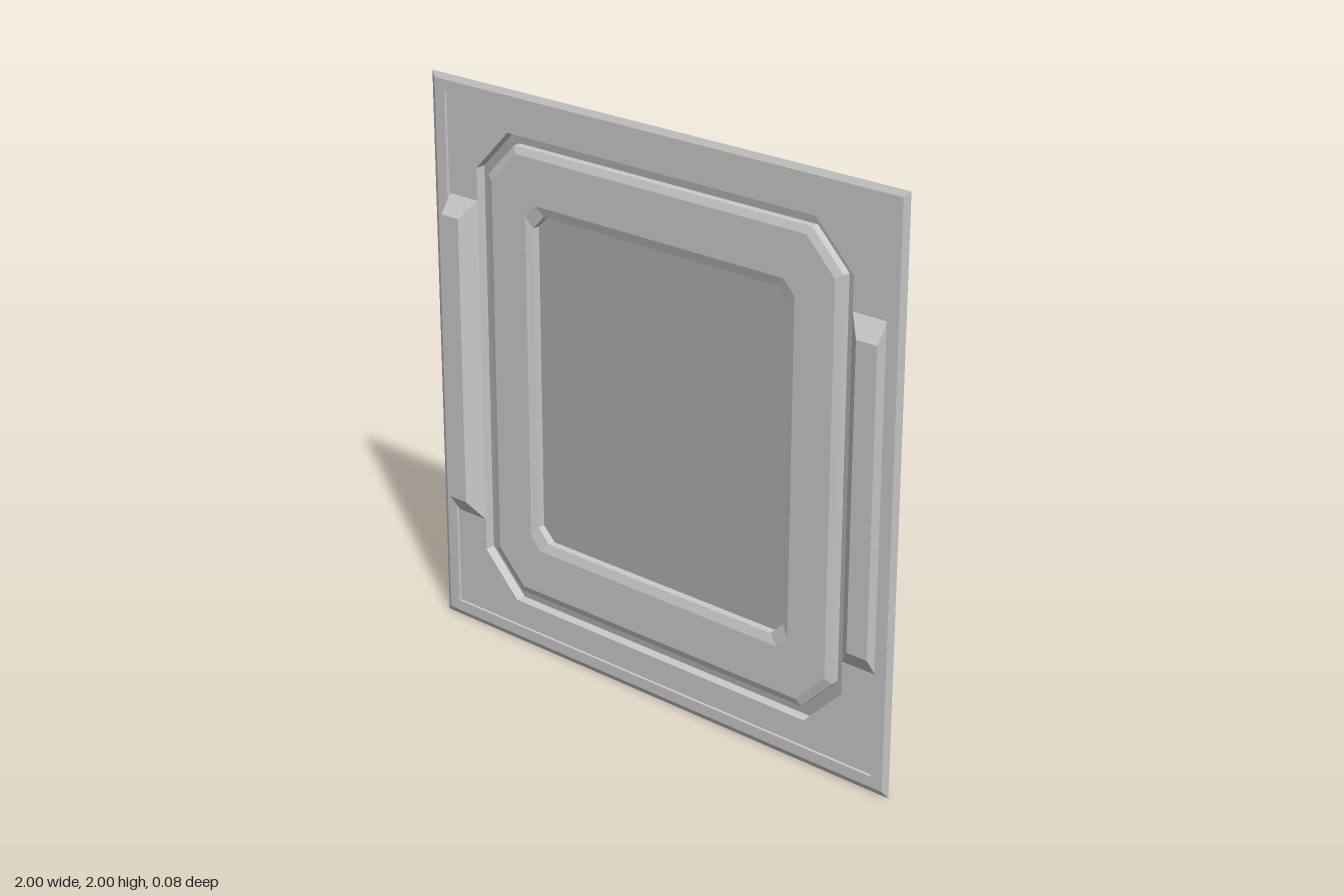
import * as THREE from 'three';

const grey = new THREE.MeshStandardMaterial({ color: 0xcccccc, flatShading: true, side: THREE.DoubleSide });
const dark = new THREE.MeshStandardMaterial({ color: 0xaeaeae, flatShading: true, side: THREE.DoubleSide });

const FIELD = -0.005, RIM = 0.005, BACK = -0.042, PAD = 0.04;

// Counter-clockwise rectangle loop with half sizes w, h and corner chamfer c
function loop(w, h, z, c = 0) {
  const pts = c
    ? [[w, c - h], [w, h - c], [w - c, h], [c - w, h], [-w, h - c], [-w, c - h], [c - w, -h], [w - c, -h]]
    : [[w, -h], [w, h], [-w, h], [-w, -h]];
  return pts.map(([x, y]) => new THREE.Vector3(x, y, z));
}

// Skin of quads through a series of loops, listed from the outside in
function skin(loops) {
  const pos = [];
  for (let k = 0; k < loops.length - 1; k++) {
    const a = loops[k], b = loops[k + 1], n = a.length;
    for (let i = 0; i < n; i++) {
      const j = (i + 1) % n;
      for (const p of [a[i], a[j], b[j], a[i], b[j], b[i]]) pos.push(p.x, p.y, p.z);
    }
  }
  const g = new THREE.BufferGeometry();
  g.setAttribute('position', new THREE.Float32BufferAttribute(pos, 3));
  g.computeVertexNormals();
  return g;
}

// Flat sheet from an outline, with an optional hole
function sheet(outline, z, hole) {
  const s = new THREE.Shape(outline.map(p => new THREE.Vector2(p.x, p.y)));
  if (hole) s.holes.push(new THREE.Path(hole.map(p => new THREE.Vector2(p.x, p.y))));
  return new THREE.ShapeGeometry(s).translate(0, 0, z);
}

export function createModel() {
  const model = new THREE.Group();
  const add = (name, geometry, material = grey, parent = model) => {
    const m = new THREE.Mesh(geometry, material);
    m.name = name;
    parent.add(m);
    return m;
  };

  // Outer rim: bevelled edge, flat border and the small step to the field
  add('outerRim', skin([
    loop(1, 1, FIELD), loop(0.98, 0.98, RIM), loop(0.935, 0.942, RIM), loop(0.935, 0.942, FIELD),
  ]));

  // Flat field, cut out for the sunken panel and both side pads
  const half = [[0.65, -0.85], [0.8, -0.7], [0.8, -0.585], [0.93, -0.585],
    [0.93, 0.585], [0.8, 0.585], [0.8, 0.7], [0.65, 0.85]].map(([x, y]) => new THREE.Vector2(x, y));
  const hole = [...half, ...half.map(p => new THREE.Vector2(-p.x, -p.y))];
  add('field', sheet(loop(0.935, 0.942, 0), FIELD, hole));

  // Groove around the panel: outer wall, floor and inner wall
  add('grooveWall', skin([loop(0.8, 0.85, FIELD, 0.15), loop(0.8, 0.85, BACK, 0.15)]));
  add('grooveFloor', skin([loop(0.8, 0.85, BACK, 0.15), loop(0.755, 0.81, BACK, 0.125)]), dark);

  // Raised frame with a soft bevel on both edges
  add('raisedFrame', skin([
    loop(0.755, 0.81, BACK, 0.125), loop(0.755, 0.81, -0.015, 0.125),
    loop(0.73, 0.785, FIELD, 0.115), loop(0.575, 0.625, FIELD, 0.045),
    loop(0.548, 0.592, -0.015, 0.05), loop(0.548, 0.592, BACK, 0.05),
  ]));

  // Sunken centre
  add('centrePanel', sheet(loop(0.548, 0.592, 0, 0.05), BACK), dark);

  // Side pads: hollow pressings with sloped ends and a sloped inner side
  for (const side of [1, -1]) {
    const v = (x, y, z) => new THREE.Vector3(side * x, y, z);
    const base = [v(0.93, -0.585, FIELD), v(0.93, 0.585, FIELD), v(0.8, 0.585, FIELD), v(0.8, -0.585, FIELD)];
    const top = [v(0.93, -0.52, PAD), v(0.93, 0.52, PAD), v(0.85, 0.52, PAD), v(0.85, -0.52, PAD)];
    if (side < 0) { base.reverse(); top.reverse(); }
    const pad = new THREE.Group();
    pad.name = side > 0 ? 'leftPad' : 'rightPad';
    add('padSides', skin([base, top]), grey, pad);
    add('padFace', sheet(top, PAD), grey, pad);
    model.add(pad);
  }

  for (const child of model.children) child.position.y = 1;
  return model;
}
